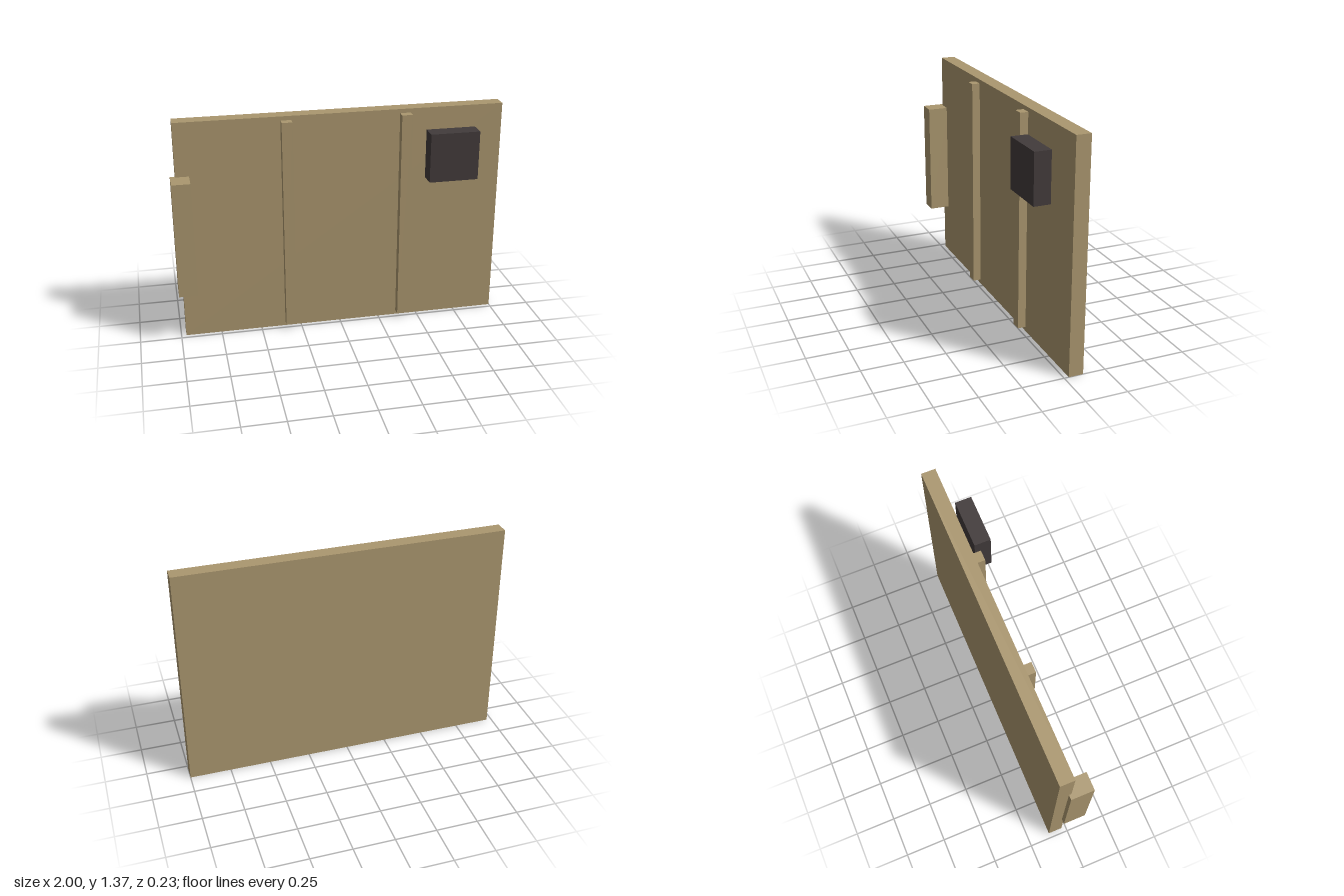
import * as THREE from 'three';

export function createModel() {
  const model = new THREE.Group();
  model.name = 'doorPanel';

  const wood = new THREE.MeshStandardMaterial({ color: 0xab976f });
  wood.name = 'tan wood';
  const dark = new THREE.MeshStandardMaterial({ color: 0x423b3b });
  dark.name = 'dark grey';

  // Box given by its extents on each axis
  function addBox(name, material, [x0, x1], [y0, y1], [z0, z1]) {
    const mesh = new THREE.Mesh(new THREE.BoxGeometry(x1 - x0, y1 - y0, z1 - z0), material);
    mesh.position.set((x0 + x1) / 2, (y0 + y1) / 2, (z0 + z1) / 2);
    mesh.name = name;
    model.add(mesh);
  }

  // Main board
  addBox('panel', wood, [-0.97, 1], [0, 1.37], [-0.115, -0.028]);

  // Two upright battens on the front
  for (const [name, x] of [['rightBatten', -0.318], ['leftBatten', 0.397]]) {
    addBox(name, wood, [x - 0.032, x + 0.032], [0.028, 1.345], [-0.028, 0.021]);
  }

  // Block overhanging the side edge
  addBox('edgeBlock', wood, [-1, -0.89], [0.332, 1.043], [-0.043, 0.097]);

  // Dark box standing just clear of the panel
  addBox('lockBox', dark, [0.518, 0.818], [0.947, 1.247], [0.015, 0.115]);

  return model;
}
